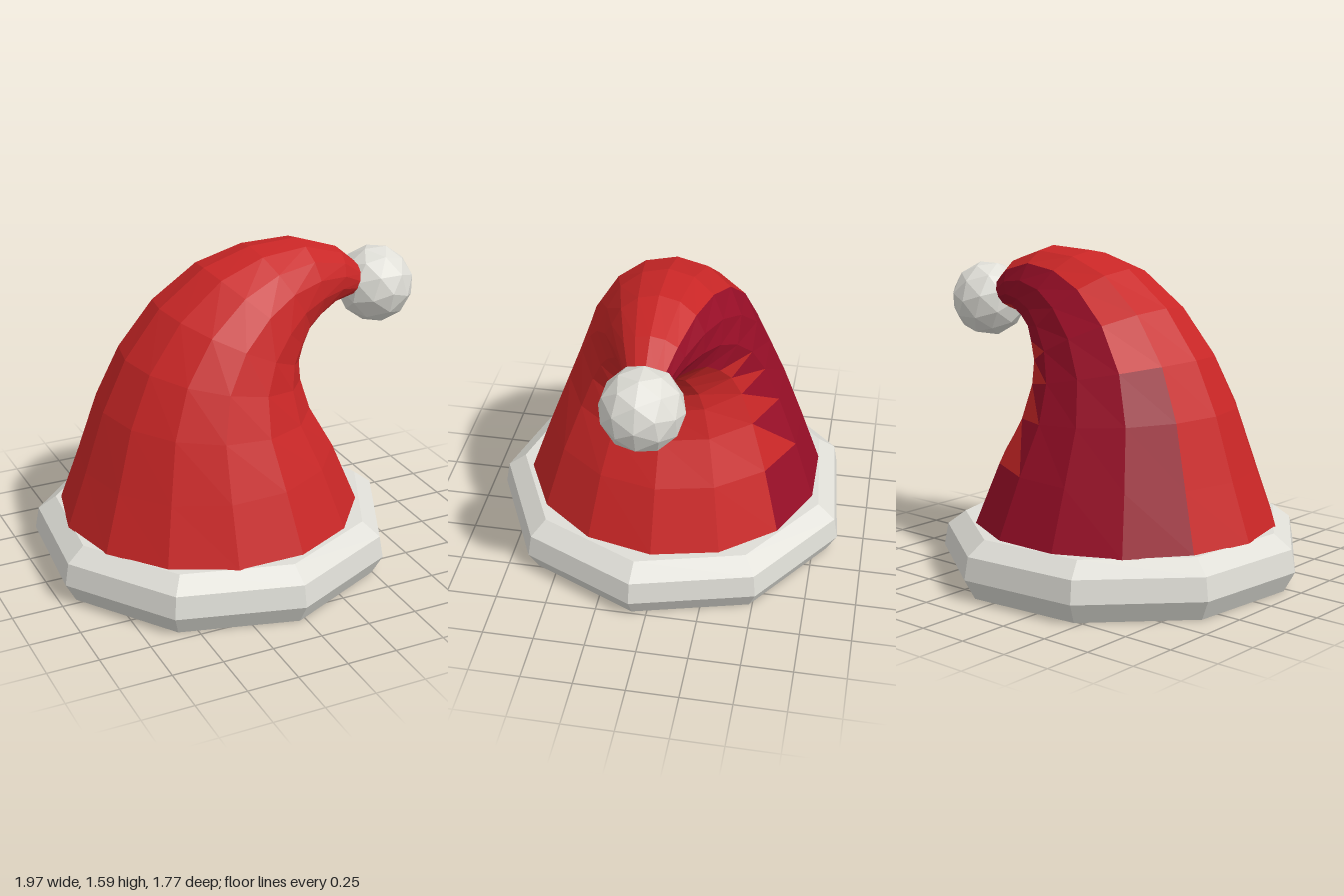
import * as THREE from 'three';

const mat = (name, color) => {
  const m = new THREE.MeshStandardMaterial({ color, flatShading: true, side: THREE.DoubleSide });
  m.name = name;
  return m;
};
const SIDES = 14;

// Cross-sections of the drooping cone: outer-curve point, inner-curve point, half width in z
const SECTIONS = [
  [-0.87, 0.275, 0.62, 0.275, 0.745],
  [-0.77, 0.55, 0.49, 0.58, 0.64],
  [-0.67, 0.85, 0.37, 0.78, 0.54],
  [-0.55, 1.10, 0.325, 0.92, 0.465],
  [-0.37, 1.33, 0.32, 1.00, 0.405],
  [-0.14, 1.50, 0.345, 1.06, 0.345],
  [0.10, 1.575, 0.375, 1.12, 0.28],
  [0.35, 1.585, 0.43, 1.17, 0.22],
  [0.57, 1.51, 0.52, 1.23, 0.155],
  [0.70, 1.40, 0.62, 1.25, 0.10],
];

function sectionPoint(i, j, scale) {
  const [ax, ay, bx, by, w] = SECTIONS[i];
  const t = (j / SIDES) * Math.PI * 2;
  const c = Math.cos(t) * 0.5 * scale;
  return [(ax + bx) / 2 + (ax - bx) * c, (ay + by) / 2 + (ay - by) * c, -w * scale * Math.sin(t)];
}

// Crimson patch on the back, with a toothed edge on the inner side of the bend
function isCrimson(i, j, tri) {
  if (j === 1) return i < 3;
  if (j === 2 || j === 3) return true;
  if (j === 4) return i < 1 || i > 4 || tri === 0;
  return false;
}

function coneGeometry(scale, painted) {
  const faces = [[], []];
  const last = SECTIONS.length - 1;
  const p = (i, j) => sectionPoint(i, j, scale);
  const [ax, ay, bx, by] = SECTIONS[last];
  for (let j = 0; j < SIDES; j++) {
    for (let i = 0; i < last; i++) {
      const a = p(i, j), b = p(i, j + 1), c = p(i + 1, j + 1), d = p(i + 1, j);
      [[a, d, c], [a, c, b]].forEach((tri, k) => {
        faces[painted && isCrimson(i, j, k) ? 1 : 0].push(...tri.flat());
      });
    }
    // closed tip
    faces[0].push(...p(last, j), (ax + bx) / 2, (ay + by) / 2, 0, ...p(last, j + 1));
  }
  const g = new THREE.BufferGeometry();
  g.setAttribute('position', new THREE.Float32BufferAttribute([...faces[0], ...faces[1]], 3));
  g.addGroup(0, faces[0].length / 3, 0);
  g.addGroup(faces[0].length / 3, faces[1].length / 3, 1);
  g.computeVertexNormals();
  return g;
}

// Flat ring: nine-sided outside, round hole
function ringGeometry(outer, hole, start, holeX) {
  const poly = (n, r, a0, cx) => Array.from({ length: n }, (_, k) => {
    const a = a0 + (k / n) * Math.PI * 2;
    return new THREE.Vector2(cx + r * Math.cos(a), r * Math.sin(a));
  });
  const s = new THREE.Shape(poly(9, outer, start, 0));
  s.holes.push(new THREE.Path(poly(SIDES, hole, 0, holeX)));
  return new THREE.ShapeGeometry(s).rotateX(Math.PI / 2); // faces down
}

export function createModel() {
  const red = mat('red cloth', 0xc92626);
  const crimson = mat('crimson cloth', 0x980e27);
  const white = mat('off-white fur', 0xdfded7);
  const model = new THREE.Group();
  model.name = 'hat';
  const add = (name, geo, m, parent = model) => {
    const mesh = new THREE.Mesh(geo, m);
    mesh.name = name;
    parent.add(mesh);
    return mesh;
  };

  // Drooping cone and its inner lining
  add('cone', coneGeometry(1, true), [red, crimson]);
  add('lining', coneGeometry(0.88, false), [red, red]);

  // Nine-sided fur brim
  const brim = new THREE.Group();
  brim.name = 'brim';
  brim.position.x = -0.105;
  model.add(brim);
  const start = THREE.MathUtils.degToRad(5);
  const profile = [[0.845, 0], [0.9, 0.1], [0.88, 0.21], [0.79, 0.278]].map(q => new THREE.Vector2(...q));
  add('brimOuter', new THREE.LatheGeometry(profile, 9, start), white, brim);
  add('brimBottom', ringGeometry(0.845, 0.65, start, -0.02), white, brim);
  const top = ringGeometry(0.79, 0.65, -start, -0.02);
  add('brimTop', top.rotateX(Math.PI).translate(0, 0.278, 0), white, brim);
  const wall = new THREE.CylinderGeometry(0.65, 0.65, 0.278, SIDES, 1, true);
  wall.rotateY(Math.PI / 2).translate(-0.02, 0.139, 0);
  add('brimInner', wall, white, brim);

  // Faceted pompom at the tip
  const pompom = add('pompom', new THREE.IcosahedronGeometry(0.195, 1), white);
  pompom.rotation.x = Math.atan(2 / (1 + Math.sqrt(5)));
  pompom.position.set(0.8, 1.283, -0.005);
  return model;
}
